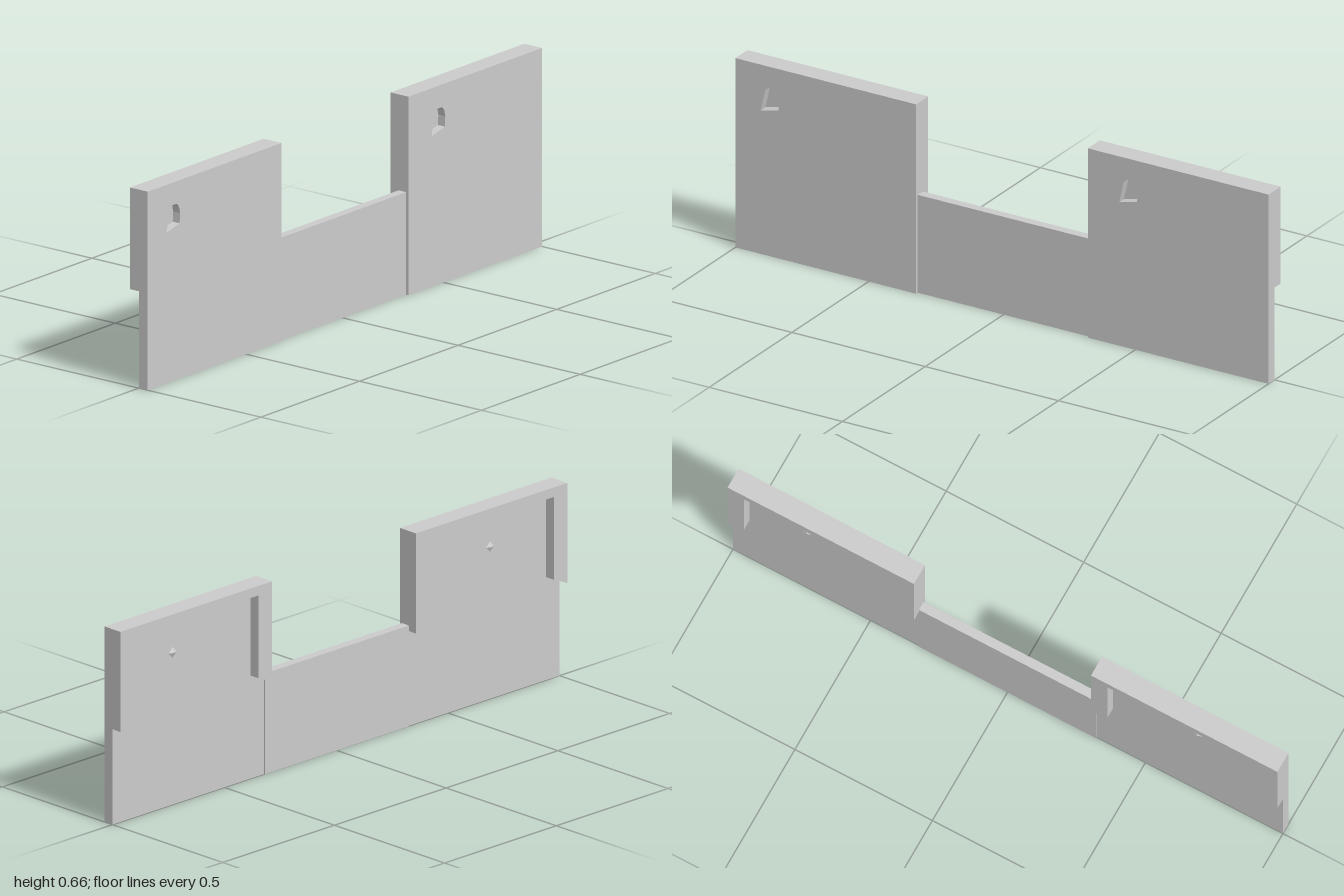
import * as THREE from 'three';

const material = new THREE.MeshStandardMaterial({ color: 0xcccccc, flatShading: true });
const BACK = -0.0365, SKIN = 0.001, POCKET = 0.008, FACE = 0.0365;
const TOP = 0.662, INNER = 0.323;

// Extrudes an outline drawn in (-z, y) between two x positions.
function slab(name, points, x0, x1, hole) {
  const toVectors = (list) => list.map(([u, y]) => new THREE.Vector2(u, y));
  const shape = new THREE.Shape(toVectors(points));
  if (hole) shape.holes.push(new THREE.Path(toVectors(hole)));
  const geometry = new THREE.ExtrudeGeometry(shape, { depth: x1 - x0, bevelEnabled: false });
  geometry.rotateY(Math.PI / 2).translate(x0, 0, 0);
  const mesh = new THREE.Mesh(geometry, material);
  mesh.name = name;
  return mesh;
}

const rectangle = (u0, u1, y0, y1) => [[u0, y0], [u1, y0], [u1, y1], [u0, y1]];

// Slanted finger slot, relative to its lower left corner.
const slotOutline = [
  [0, 0], [0.067, 0.016], [0.069, 0.05], [0.064, 0.072],
  [0.052, 0.084], [0.022, 0.085], [0.017, 0.075],
];

// Upright panel: plate with a slot, and a rim around its upper back.
function panel(name, u0, u1, slotU, stubU) {
  const group = new THREE.Group();
  group.name = name;
  const outline = rectangle(u0, u1, 0, TOP);
  const slot = slotOutline.map(([u, y]) => [slotU + u, 0.502 + y]);
  group.add(slab('plateFace', outline, POCKET, FACE, slot));
  group.add(slab('plateBack', outline, SKIN, POCKET));

  // Rim legs end in a slanted cut, lowest at the outside.
  const w = 0.06, t = 0.032, cut = 0.026;
  group.add(slab('rim', [
    [u0, INNER], [u0 + w, INNER + cut], [u0 + w, TOP - t],
    [u1 - w, TOP - t], [u1 - w, INNER + cut], [u1, INNER],
    [u1, TOP], [u0, TOP],
  ], BACK, SKIN));

  // Small stub on the back of the plate.
  const stub = new THREE.Mesh(new THREE.ConeGeometry(0.018, 0.008, 4), material);
  stub.name = 'stub';
  stub.rotation.z = Math.PI / 2;
  stub.position.set(SKIN - 0.004, 0.515, -stubU);
  group.add(stub);
  return group;
}

export function createModel() {
  const model = new THREE.Group();
  model.name = 'panelWall';
  model.add(panel('frontPanel', -1, -0.322, -0.905, -0.69));
  model.add(panel('backPanel', 0.322, 1, 0.44, 0.73));
  // Lower web joining the two panels
  model.add(slab('middlePanel', rectangle(-0.322, 0.322, 0, 0.342), -0.004, 0.027));
  return model;
}
